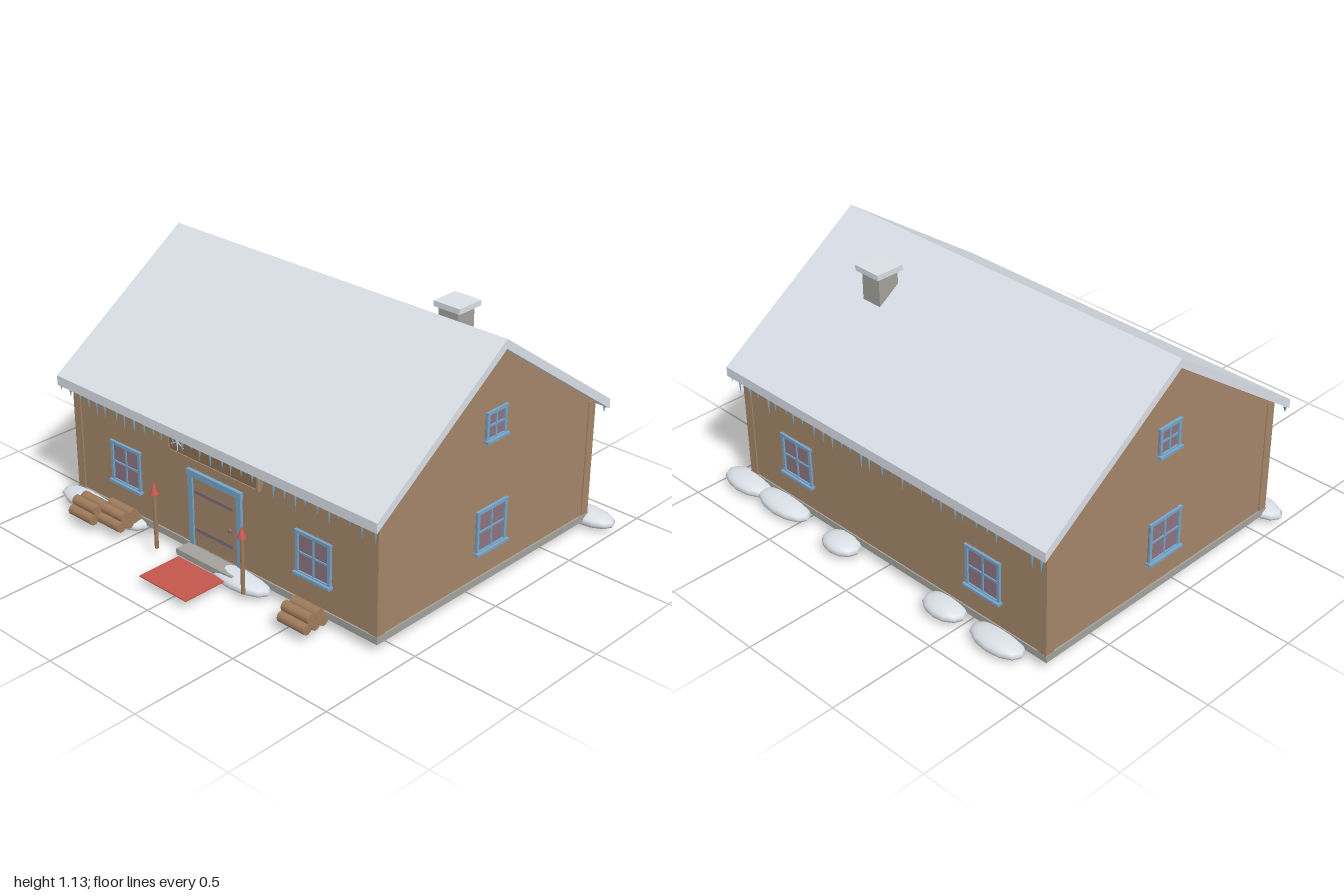
import * as THREE from 'three';

const mat = (name, color, side = THREE.FrontSide) => {
  const m = new THREE.MeshStandardMaterial({ color, side });
  m.name = name;
  return m;
};

export function createModel() {
  const M = {
    snow: mat('snow', 0xe4e9f1),
    wall: mat('wallWood', 0xa4866a),
    wood: mat('logWood', 0xa07c5c),
    sign: mat('signWood', 0x8c6e52),
    trim: mat('blueTrim', 0x76a5c8),
    glass: mat('windowGlass', 0x8d7482),
    stone: mat('stone', 0xa3a29c),
    iron: mat('iron', 0x7c6c78),
    red: mat('red', 0xc4564c),
    ice: mat('ice', 0x7fb0d0),
  };
  const root = new THREE.Group();
  root.name = 'winterCabin';

  const add = (parent, name, geo, material, x = 0, y = 0, z = 0) => {
    const m = new THREE.Mesh(geo, material);
    m.name = name;
    m.position.set(x, y, z);
    parent.add(m);
    return m;
  };
  // box given by its minimum and maximum corners
  const box = (parent, name, material, [x0, y0, z0], [x1, y1, z1]) =>
    add(parent, name, new THREE.BoxGeometry(x1 - x0, y1 - y0, z1 - z0), material,
      (x0 + x1) / 2, (y0 + y1) / 2, (z0 + z1) / 2);
  const group = (name, parent = root) => {
    const g = new THREE.Group();
    g.name = name;
    parent.add(g);
    return g;
  };

  const CX = -0.025, RZ = -0.1;              // house centre and ridge line
  const X0 = -0.925, X1 = 0.875, Z0 = -0.782, Z1 = 0.583;

  // prism running along x from a profile of [z, y] points
  const prism = (name, profile, x0, x1, material) => {
    const s = new THREE.Shape(profile.map(([z, y]) => new THREE.Vector2(-z, y)));
    const g = new THREE.ExtrudeGeometry(s, { depth: x1 - x0, bevelEnabled: false });
    g.rotateY(Math.PI / 2);
    return add(root, name, g, material, x0, 0, 0);
  };

  // foundation, walls and gables
  box(root, 'foundation', M.stone, [X0 - 0.007, 0.04, Z0 - 0.006], [X1 + 0.007, 0.072, Z1 + 0.007]);
  box(root, 'walls', M.wall, [X0, 0.072, Z0], [X1, 0.622, Z1]);
  prism('gables', [[Z1, 0.622], [RZ, 1.092], [Z0, 0.622]], X0 - 0.001, X1 + 0.001, M.wall);

  // corner boards
  for (const [sx, x] of [[-1, X0], [1, X1]])
    for (const [sz, z] of [[-1, Z0], [1, Z1]]) {
      const xs = [x + sx * 0.005, x - sx * 0.04].sort((a, b) => a - b);
      const zs = [z + sz * 0.005, z - sz * 0.04].sort((a, b) => a - b);
      box(root, 'cornerBoard', M.wall, [xs[0], 0.072, zs[0]], [xs[1], 0.622, zs[1]]);
    }

  // snow covered roof
  prism('roof', [
    [RZ + 0.74, 0.617], [RZ, 1.13], [RZ - 0.74, 0.617],
    [RZ - 0.74, 0.572], [RZ, 1.088], [RZ + 0.74, 0.572],
  ], -0.97, 0.917, M.snow);

  // chimney
  const chimney = group('chimney');
  box(chimney, 'chimneyStack', M.stone, [0.413, 0.85, -0.392], [0.517, 1.065, -0.287]);
  box(chimney, 'chimneyCap', M.snow, [0.395, 1.065, -0.413], [0.535, 1.09, -0.273]);

  // window facing +z, centred on its own origin
  const makeWindow = (w, h, x, y, z, turn) => {
    const g = group('window');
    const a = w / 2, b = h / 2, t = 0.014;
    box(g, 'glass', M.glass, [-a, -b, 0], [a, b, 0.004]);
    for (const s of [-1, 1])
      box(g, 'frameSide', M.trim, [s * (a - t / 2) - t / 2, -b, 0], [s * (a - t / 2) + t / 2, b, 0.012]);
    box(g, 'frameTop', M.trim, [-a - 0.003, b - t, 0], [a + 0.003, b, 0.014]);
    box(g, 'frameBottom', M.trim, [-a, -b, 0], [a, -b + t, 0.012]);
    box(g, 'sill', M.trim, [-a - 0.006, -b - 0.002, 0], [a + 0.006, -b + 0.01, 0.024]);
    box(g, 'uprightBar', M.trim, [-0.004, -b, 0], [0.004, b, 0.009]);
    box(g, 'crossBar', M.trim, [-a, -0.004, 0], [a, 0.004, 0.009]);
    g.position.set(x, y, z);
    g.rotation.y = turn;
  };
  for (const s of [-1, 1]) {
    makeWindow(0.19, 0.2, CX + s * 0.563, 0.288, Z1, 0);
    makeWindow(0.19, 0.2, CX + s * 0.563, 0.288, Z0, Math.PI);
    const x = s > 0 ? X1 : X0;
    makeWindow(0.19, 0.2, x, 0.288, RZ, s * Math.PI / 2);
    makeWindow(0.125, 0.134, x + s * 0.001, 0.757, RZ, s * Math.PI / 2);
  }

  // front door
  const door = group('door');
  door.position.set(CX, 0, Z1);
  box(door, 'doorPanel', M.wall, [-0.132, 0.072, 0], [0.132, 0.402, 0.006]);
  for (const s of [-1, 1])
    box(door, 'doorPost', M.trim, [s * 0.145 - 0.013, 0.072, 0], [s * 0.145 + 0.013, 0.402, 0.014]);
  box(door, 'doorLintel', M.trim, [-0.162, 0.4, 0], [0.162, 0.43, 0.017]);
  for (const y of [0.15, 0.33])
    box(door, 'hingeStrap', M.iron, [-0.125, y - 0.008, 0], [0.105, y + 0.008, 0.009]);
  add(door, 'doorKnob', new THREE.SphereGeometry(0.009, 10, 8), M.iron, 0.092, 0.23, 0.012);

  // sign board with a snowflake
  const sign = group('signBoard');
  box(sign, 'board', M.sign, [-0.295, 0.48, Z1], [0.243, 0.6, Z1 + 0.016]);
  box(sign, 'boardRail', M.wall, [-0.297, 0.478, Z1], [0.245, 0.488, Z1 + 0.021]);
  for (const x of [-0.292, 0.24])
    box(sign, 'boardEdge', M.wall, [x - 0.005, 0.478, Z1], [x + 0.005, 0.6, Z1 + 0.021]);
  for (let i = 0; i < 3; i++)
    add(sign, 'snowflakeBar', new THREE.BoxGeometry(0.004, 0.085, 0.004), M.snow,
      -0.235, 0.537, Z1 + 0.017).rotation.z = i * Math.PI / 3;

  // step and mat
  box(root, 'doorStep', M.stone, [-0.195, 0.04, Z1], [0.145, 0.068, 0.665]);
  box(root, 'doorMat', M.red, [-0.17, 0.04, 0.675], [0.115, 0.045, 0.893]);

  // torches
  for (const x of [-0.29, 0.238]) {
    const torch = group('torch');
    torch.position.set(x, 0, 0.69);
    add(torch, 'pole', new THREE.CylinderGeometry(0.009, 0.009, 0.265, 8), M.wood, 0, 0.175, 0);
    add(torch, 'flame', new THREE.ConeGeometry(0.021, 0.055, 10), M.red, 0, 0.333, 0);
  }

  // log piles: three logs below, two on top
  const logGeo = new THREE.CylinderGeometry(0.024, 0.024, 0.148, 10).rotateZ(Math.PI / 2);
  for (const [x, z] of [[-0.708, 0.7], [-0.573, 0.66], [0.565, 0.68]]) {
    const pile = group('logPile');
    pile.position.set(x, 0, z);
    for (const dz of [-0.047, 0, 0.047]) add(pile, 'log', logGeo, M.wood, 0, 0.065, dz);
    for (const dz of [-0.024, 0.024]) add(pile, 'log', logGeo, M.wood, 0, 0.104, dz);
  }

  // snow mounds: x, z, half length
  const moundGeo = new THREE.SphereGeometry(1, 12, 8);
  for (const [x, z, r] of [
    [-0.83, 0.615, 0.17], [-0.6, 0.6, 0.14], [0.145, 0.615, 0.17],
    [0.86, -0.82, 0.14], [0.61, -0.82, 0.16], [0.22, -0.83, 0.1],
    [-0.4, -0.82, 0.11], [-0.7, -0.82, 0.14],
  ])
    add(root, 'snowMound', moundGeo, M.snow, x, 0.037, z).scale.set(r, 0.037, 0.073);

  // icicles along both eaves
  let seed = 7;
  const rnd = () => (seed = (seed * 16807) % 2147483647) / 2147483647;
  for (const z of [RZ + 0.732, RZ - 0.732])
    for (let i = 0; i < 32; i++) {
      const len = 0.03 + 0.06 * rnd();
      const g = new THREE.ConeGeometry(0.005 + 0.004 * rnd(), len, 6).rotateX(Math.PI);
      add(root, 'icicle', g, M.ice, -0.95 + i * 0.0595 + 0.02 * (rnd() - 0.5), 0.58 - len / 2, z);
    }

  return root;
}
